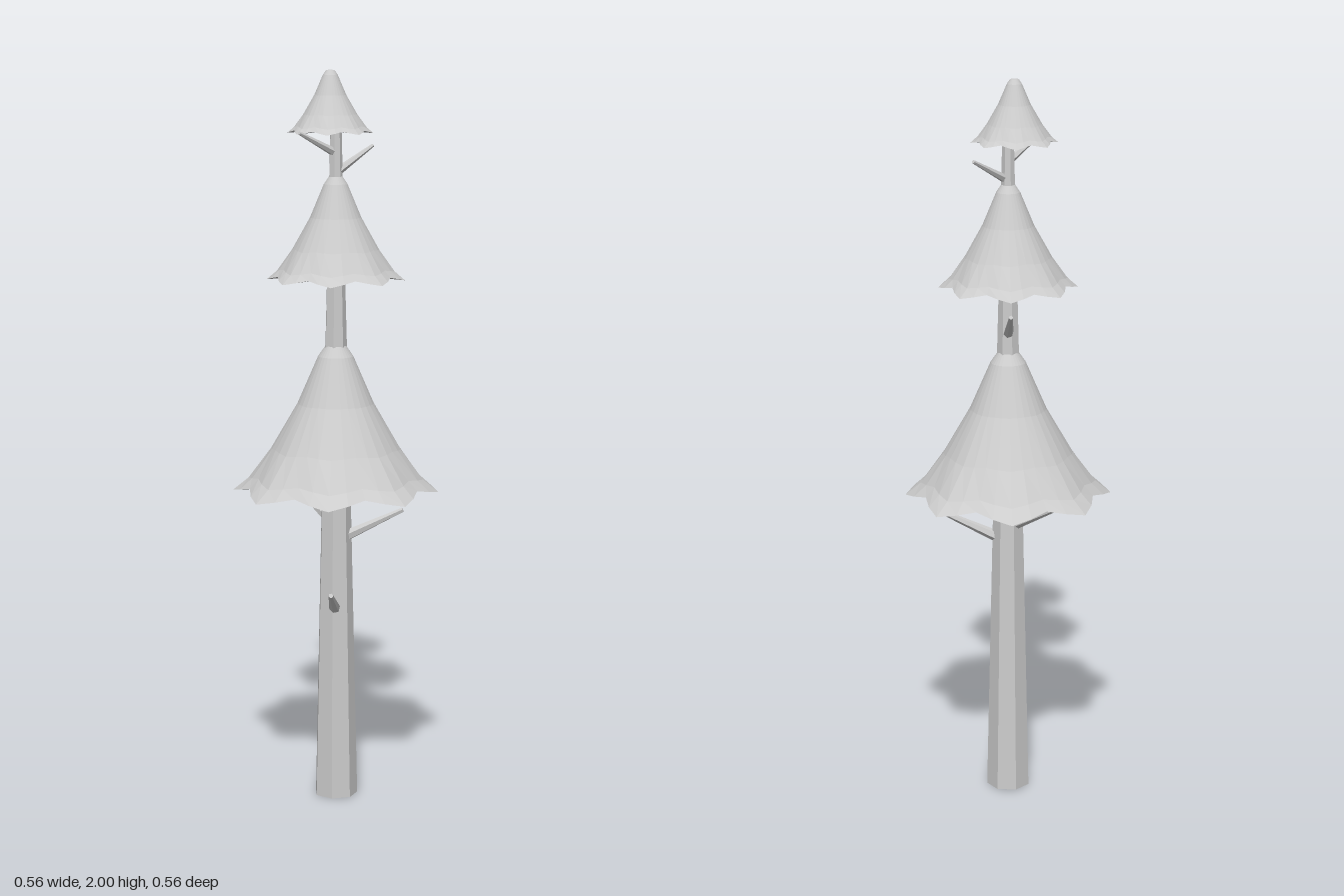
import * as THREE from 'three';

const bark = new THREE.MeshStandardMaterial({ color: 0xcccccc, flatShading: true });
const foliage = new THREE.MeshStandardMaterial({ color: 0xcccccc, flatShading: true, side: THREE.DoubleSide });

// Flared skirt of foliage: [radius, height] as fractions, from underside centre to tip
const PROFILE = [
  [0, 0.03], [0.5, 0.03], [1, 0], [0.85, 0.085], [0.63, 0.29],
  [0.37, 0.6], [0.17, 0.92], [0.1, 0.99], [0, 1],
];

function foliageTier(name, radius, bottom, top, z) {
  const height = top - bottom;
  const points = PROFILE.map(([r, t]) => new THREE.Vector2(r * radius, t * height));
  const geometry = new THREE.LatheGeometry(points, 32);
  const pos = geometry.attributes.position;
  // Eight drooping points round the hem, fading towards the tip
  for (let i = 0; i < pos.count; i++) {
    const x = pos.getX(i), y = pos.getY(i), pz = pos.getZ(i);
    const reach = Math.hypot(x, pz) / radius;
    const valley = (0.5 - 0.5 * Math.cos(8 * Math.atan2(x, pz))) * reach ** 3;
    const shrink = 1 - 0.13 * valley;
    pos.setXYZ(i, x * shrink, y + 0.075 * radius * valley, pz * shrink);
  }
  geometry.computeVertexNormals();
  const mesh = new THREE.Mesh(geometry, foliage);
  mesh.name = name;
  mesh.position.set(0, bottom, z);
  return mesh;
}

function trunkSection(name, r0, r1, y0, y1) {
  const mesh = new THREE.Mesh(new THREE.CylinderGeometry(r1, r0, y1 - y0, 7), bark);
  mesh.name = name;
  mesh.position.y = (y0 + y1) / 2;
  return mesh;
}

// Tapered bare twig between two points
function branch(name, from, to, radius) {
  const a = new THREE.Vector3(...from), b = new THREE.Vector3(...to);
  const dir = b.clone().sub(a);
  const mesh = new THREE.Mesh(new THREE.CylinderGeometry(radius * 0.4, radius, dir.length(), 6), bark);
  mesh.name = name;
  mesh.position.copy(a).add(b).multiplyScalar(0.5);
  mesh.quaternion.setFromUnitVectors(new THREE.Vector3(0, 1, 0), dir.normalize());
  return mesh;
}

export function createModel() {
  const tree = new THREE.Group();
  tree.name = 'pineTree';

  tree.add(
    trunkSection('lowerTrunk', 0.06, 0.04, 0, 0.9),
    trunkSection('middleTrunk', 0.04, 0.024, 0.9, 1.5),
    trunkSection('upperTrunk', 0.024, 0.015, 1.5, 1.88),
    foliageTier('lowerFoliage', 0.281, 0.86, 1.265, 0),
    foliageTier('middleFoliage', 0.187, 1.44, 1.72, 0),
    foliageTier('topFoliage', 0.116, 1.832, 2, -0.022),
  );

  // Bare branches: base, tip, base radius
  [
    [[-0.02, 0.535, 0.02], [-0.13, 0.61, 0.13], 0.016],
    [[0.02, 0.735, 0.02], [0.13, 0.81, 0.13], 0.016],
    [[0, 0.775, -0.02], [0, 0.868, -0.2], 0.016],
    [[0.01, 1.315, -0.01], [0.132, 1.402, -0.132], 0.014],
    [[0, 1.73, 0.005], [0.128, 1.795, 0.005], 0.012],
    [[0, 1.78, 0], [-0.127, 1.838, 0], 0.012],
  ].forEach(([from, to, r], i) => tree.add(branch(`branch${i + 1}`, from, to, r)));

  return tree;
}
